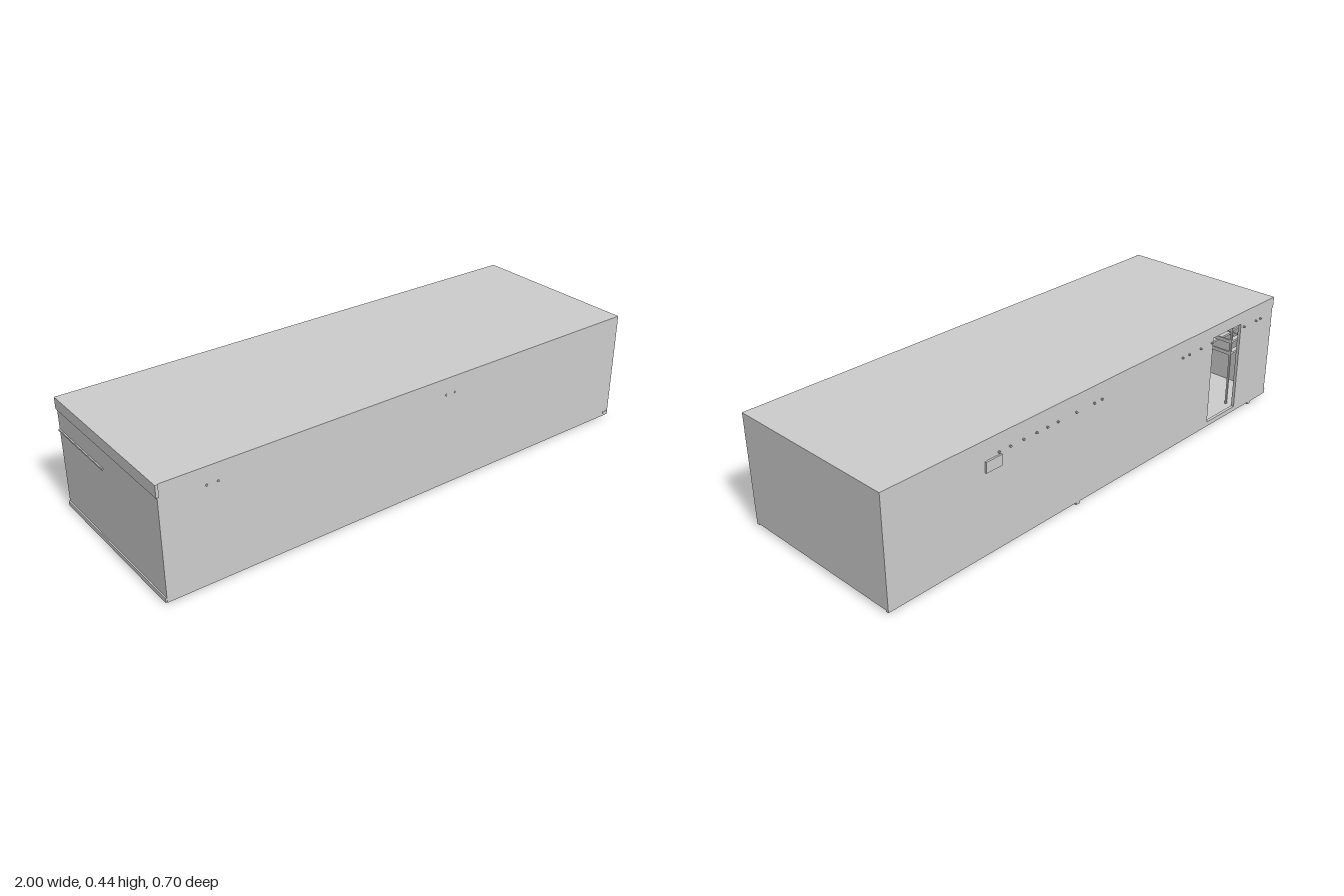
import * as THREE from 'three';

const grey = new THREE.MeshStandardMaterial({ color: 0xcccccc, flatShading: true });

export function createModel() {
  const model = new THREE.Group();
  model.name = 'equipmentShelter';

  // Box given by its minimum and maximum on each axis
  const box = (parent, name, [x0, x1], [y0, y1], [z0, z1]) => {
    const mesh = new THREE.Mesh(new THREE.BoxGeometry(x1 - x0, y1 - y0, z1 - z0), grey);
    mesh.position.set((x0 + x1) / 2, (y0 + y1) / 2, (z0 + z1) / 2);
    mesh.name = name;
    parent.add(mesh);
    return mesh;
  };
  const group = (name) => {
    const g = new THREE.Group();
    g.name = name;
    model.add(g);
    return g;
  };

  const X = 0.995, BACK = -0.343, FRONT = 0.347, FLOOR = 0.009, TOP = 0.435, T = 0.012;
  const door = { x0: -0.78, x1: -0.6, y0: 0.028, y1: 0.387 };

  // Shell: floor, roof and plain walls
  box(model, 'floor', [-X, 0.98], [FLOOR, 0.02], [BACK, FRONT]);
  box(model, 'roof', [-1, 1], [TOP - T, TOP], [BACK, FRONT]);
  box(model, 'frontWall', [-X, 1], [FLOOR, TOP - T], [FRONT - T, FRONT]);
  box(model, 'leftEndWall', [1 - T, 1], [0.014, TOP - T], [BACK + T, FRONT - T]);
  box(model, 'rightEndWall', [-X, -X + T], [FLOOR, TOP - T], [BACK + T, FRONT - T]);

  // Back wall with the doorway cut out
  const wall = new THREE.Shape();
  wall.moveTo(-X, FLOOR).lineTo(1, FLOOR).lineTo(1, TOP - T).lineTo(-X, TOP - T).closePath();
  const hole = new THREE.Path();
  hole.moveTo(door.x0, door.y0).lineTo(door.x0, door.y1).lineTo(door.x1, door.y1).lineTo(door.x1, door.y0).closePath();
  wall.holes.push(hole);
  const backWall = new THREE.Mesh(new THREE.ExtrudeGeometry(wall, { depth: T, bevelEnabled: false }), grey);
  backWall.position.z = BACK;
  backWall.name = 'backWall';
  model.add(backWall);

  // Trim on the right end: header, bottom sill and short rail
  box(model, 'endHeader', [-1, -0.99], [0.39, TOP], [BACK, 0.35]);
  box(model, 'endSill', [-1, -0.99], [FLOOR, 0.027], [BACK, 0.345]);
  box(model, 'endRail', [-1, -X], [0.307, 0.313], [BACK, -0.02]);
  box(model, 'cornerBlock', [0.975, 0.999], [0.014, 0.026], [FRONT - 0.01, FRONT + 0.001]);

  // Small feet under the back edge
  for (const x of [-0.89, 0.15]) {
    box(model, 'foot', [x - 0.01, x + 0.01], [0, FLOOR], [BACK, BACK + 0.01]);
  }

  // Small fixings in a row below the roof
  const fixings = group('wallFixings');
  const fixing = (x, z, out) => {
    const mesh = new THREE.Mesh(new THREE.CylinderGeometry(0.004, 0.004, out, 8), grey);
    mesh.rotation.x = Math.PI / 2;
    mesh.position.set(x, 0.371, z);
    mesh.name = 'fixing';
    fixings.add(mesh);
  };
  for (const x of [-0.91, -0.88, -0.8, -0.7, -0.66, -0.59, -0.52, -0.45, -0.41,
    0.04, 0.08, 0.17, 0.26, 0.31, 0.36, 0.42, 0.48, 0.53]) {
    if (x < door.x0 || x > door.x1) fixing(x, BACK - 0.003, 0.008);
  }
  for (const x of [-0.83, -0.79, 0.124, 0.164]) fixing(x, FRONT + 0.001, 0.004);

  // Shallow box on the back wall
  box(model, 'wallBox', [0.52, 0.59], [0.32, 0.36], [-0.35, BACK]);

  // Shelving racks inside: posts with slatted shelves
  const rack = (name, x0, x1, z0, z1, levels, bays) => {
    const g = group(name);
    const p = 0.007;
    for (let i = 0; i <= bays; i++) {
      const x = x0 + (x1 - x0 - p) * i / bays;
      for (const z of [z0, z1 - p]) box(g, 'post', [x, x + p], [0.02, 0.39], [z, z + p]);
    }
    for (const y of levels) {
      for (let i = 0; i < 4; i++) {
        const z = z0 + (z1 - z0 - 0.02) * i / 3;
        box(g, 'shelfSlat', [x0, x1], [y, y + 0.008], [z, z + 0.02]);
      }
      for (const x of [x0, x1 - p]) box(g, 'shelfEnd', [x, x + p], [y - 0.004, y + 0.01], [z0, z1]);
    }
  };
  const shelfHeights = [0.09, 0.14, 0.19, 0.24, 0.29, 0.34, 0.38];
  rack('backRack', -0.59, 0.95, -0.325, -0.18, shelfHeights, 6);
  rack('frontRack', -0.95, 0.95, 0.12, 0.32, shelfHeights.slice(2), 8);
  rack('endRack', -0.96, -0.79, -0.3, 0.06, shelfHeights.slice(3), 1);

  return model;
}
